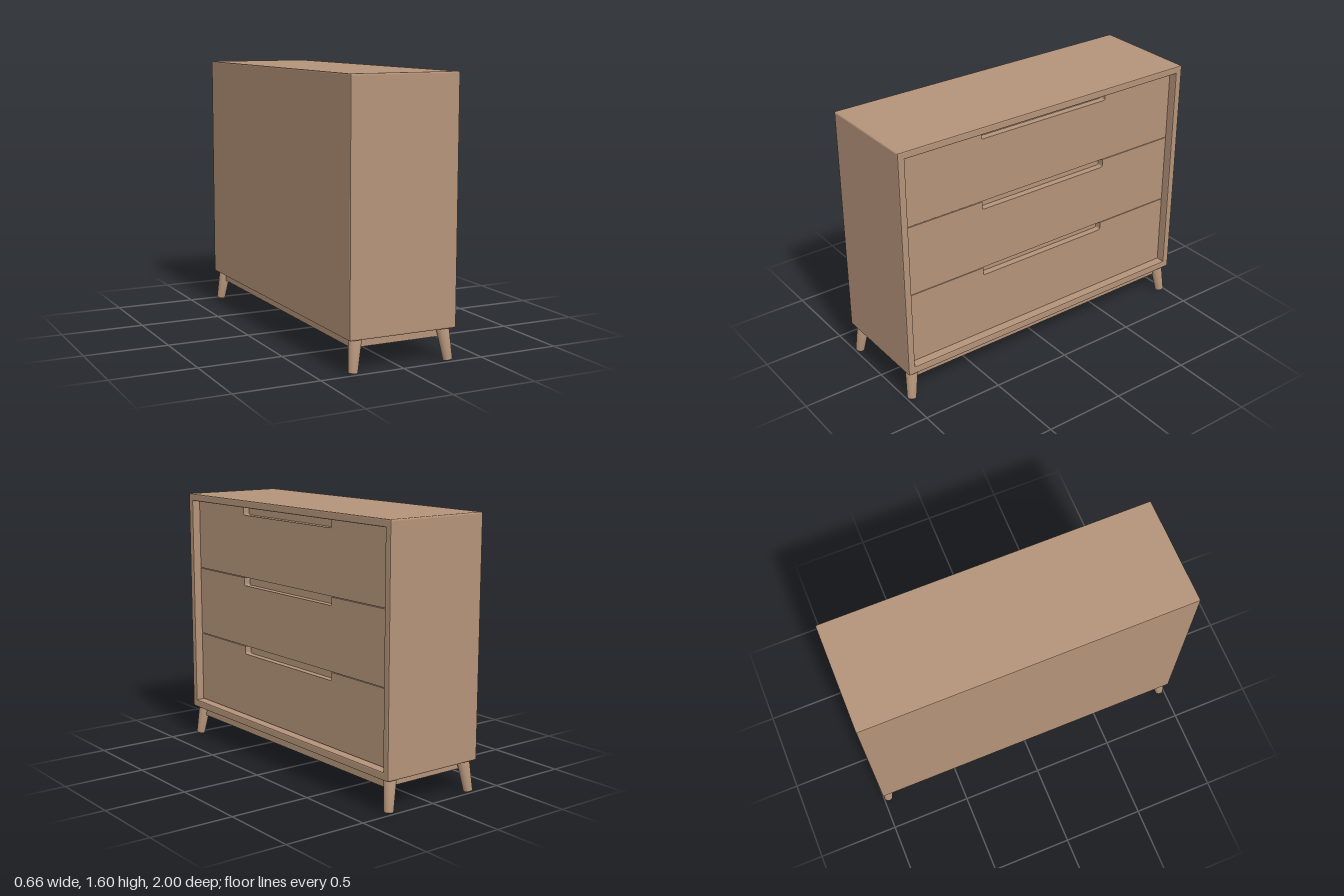
import * as THREE from 'three';

const HALF_X = 0.33, HALF_Z = 1, BASE_Y = 0.19, TOP_Y = 1.6;

// Rectangle outline with small rounded corners
function roundedRect(x0, y0, x1, y1, r) {
  const s = new THREE.Shape();
  s.moveTo(x0 + r, y0);
  s.lineTo(x1 - r, y0).quadraticCurveTo(x1, y0, x1, y0 + r);
  s.lineTo(x1, y1 - r).quadraticCurveTo(x1, y1, x1 - r, y1);
  s.lineTo(x0 + r, y1).quadraticCurveTo(x0, y1, x0, y1 - r);
  s.lineTo(x0, y0 + r).quadraticCurveTo(x0, y0, x0 + r, y0);
  return s;
}

// Extrude a side profile so that it spans xBack..xFront
function extrudeAlongX(shape, xBack, xFront, bevel) {
  const geo = new THREE.ExtrudeGeometry(shape, {
    depth: xFront - xBack - 2 * bevel, curveSegments: 3,
    bevelEnabled: bevel > 0, bevelSize: bevel, bevelThickness: bevel,
    bevelOffset: -bevel, bevelSegments: 2,
  });
  geo.rotateY(Math.PI / 2);
  geo.translate(xBack + bevel, 0, 0);
  return geo;
}

// Drawer front with a finger notch cut from its top edge
function drawerShape(y0, y1) {
  const w = 0.953, n = 0.44, d = 0.049, r = 0.012;
  const s = new THREE.Shape();
  s.moveTo(-w, y0);
  s.lineTo(w, y0);
  s.lineTo(w, y1);
  s.lineTo(n, y1);
  s.lineTo(n, y1 - d + r).quadraticCurveTo(n, y1 - d, n - r, y1 - d);
  s.lineTo(-n + r, y1 - d).quadraticCurveTo(-n, y1 - d, -n, y1 - d + r);
  s.lineTo(-n, y1);
  s.lineTo(-w, y1);
  s.closePath();
  return s;
}

export function createModel() {
  const root = new THREE.Group();
  root.name = 'chestOfDrawers';
  const wood = new THREE.MeshStandardMaterial({ color: 0xb49379 });
  wood.name = 'lightWood';

  const add = (name, geo, x = 0, y = 0, z = 0) => {
    const mesh = new THREE.Mesh(geo, wood);
    mesh.name = name;
    mesh.position.set(x, y, z);
    root.add(mesh);
    return mesh;
  };

  // Outer frame, open towards the drawers
  const frame = roundedRect(-HALF_Z, BASE_Y, HALF_Z, TOP_Y, 0.01);
  const hole = new THREE.Path();
  hole.moveTo(-0.957, 0.237);
  hole.lineTo(-0.957, 1.556);
  hole.lineTo(0.957, 1.556);
  hole.lineTo(0.957, 0.237);
  hole.closePath();
  frame.holes.push(hole);
  add('caseFrame', extrudeAlongX(frame, -HALF_X, HALF_X, 0.007));

  // Back panel and the body behind the drawer fronts
  add('backPanel', new THREE.BoxGeometry(0.012, 1.335, 1.93), -HALF_X + 0.006, 0.8965, 0);
  add('innerBody', new THREE.BoxGeometry(0.56, 1.319, 1.914), -0.04, 0.8965, 0);

  // Three recessed drawer fronts
  [[0.241, 0.683], [0.687, 1.116], [1.12, 1.552]].forEach(([y0, y1], i) => {
    add(`drawerFront${i + 1}`, extrudeAlongX(drawerShape(y0, y1), 0.24, 0.28, 0));
  });

  // Plinth under the case
  add('plinth', new THREE.BoxGeometry(0.56, 0.07, 1.84), 0, 0.165, 0);

  // Splayed tapered legs with softened feet
  const up = new THREE.Vector3(0, 1, 0);
  for (const sx of [-1, 1]) {
    for (const sz of [-1, 1]) {
      const foot = new THREE.Vector3(sx * 0.297, 0.005, sz * 0.971);
      const axis = new THREE.Vector3(sx * 0.271, 0.2, sz * 0.948).sub(foot);
      const len = axis.length();
      const profile = [[0, 0], [0.022, 0], [0.0255, 0.0015], [0.027, 0.005], [0.0375, len], [0, len]]
        .map(([r, y]) => new THREE.Vector2(r, y));
      const leg = add('leg', new THREE.LatheGeometry(profile, 32), foot.x, foot.y, foot.z);
      leg.quaternion.setFromUnitVectors(up, axis.normalize());
    }
  }
  return root;
}
